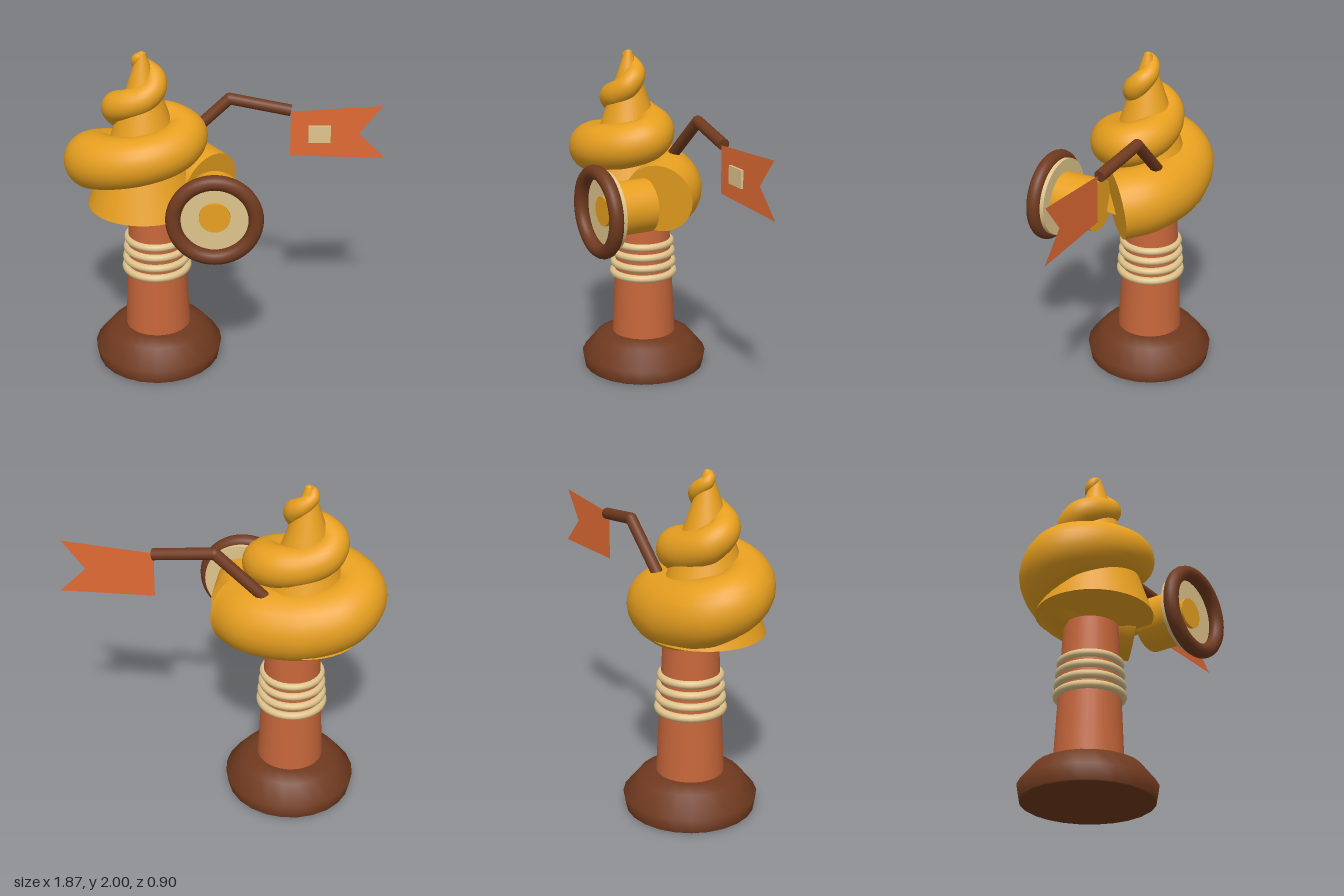
import * as THREE from 'three';

const mat = (name, color, side = THREE.FrontSide) => {
  const m = new THREE.MeshStandardMaterial({ color, side });
  m.name = name;
  return m;
};

export function createModel() {
  const model = new THREE.Group();
  const brown = mat('dark brown', 0x703a1f);
  const clay = mat('clay', 0xc6663a);
  const gold = mat('golden yellow', 0xe8a020);
  const beige = mat('beige', 0xe0c48c);
  const flagRed = mat('flag orange', 0xe06a34, THREE.DoubleSide);

  const add = (name, geo, material, x = 0, y = 0, z = 0, rx = 0) => {
    const mesh = new THREE.Mesh(geo, material);
    mesh.name = name;
    mesh.position.set(x, y, z);
    mesh.rotation.x = rx;
    model.add(mesh);
    return mesh;
  };

  // Base, post and the four rings around it
  const px = -0.412, pz = -0.065;
  const baseProfile = [[0, 0], [0.365, 0], [0.372, 0.005], [0.387, 0.09], [0.297, 0.2], [0.215, 0.23], [0, 0.23]]
    .map(([r, y]) => new THREE.Vector2(r, y));
  add('base', new THREE.LatheGeometry(baseProfile, 24), brown, px, 0, pz);
  add('post', new THREE.CylinderGeometry(0.157, 0.196, 0.83, 32), clay, px, 0.635, pz);
  [[0.62, 0.185], [0.683, 0.18], [0.75, 0.174], [0.815, 0.168]].forEach(([y, r], i) =>
    add('postRing' + (i + 1), new THREE.TorusGeometry(r, 0.024, 10, 36), beige, px, y, pz, Math.PI / 2));

  // Swirl: a cone wrapped by a rising, tapering elliptical coil
  const cx = -0.465;
  add('swirlCore', new THREE.CylinderGeometry(0.022, 0.335, 0.91, 40), gold, cx, 1.535, 0);
  // Half-width and half-depth of the path for each half turn; height and thickness for each quarter turn
  const widths = [0.375, 0.295, 0.235, 0.145, 0.07, 0.022, 0];
  const depths = [0.18, 0.2, 0.105, 0.07, 0.03, 0];
  const heights = [1.17, 1.215, 1.34, 1.425, 1.5, 1.56, 1.67, 1.74, 1.84, 1.91, 1.96, 1.985];
  const radii = [0.21, 0.205, 0.17, 0.14, 0.13, 0.115, 0.09, 0.08, 0.065, 0.045, 0.03, 0.014];
  const sample = (list, k) => {
    const c = THREE.MathUtils.clamp(k, 0, list.length - 1), a = Math.min(Math.floor(c), list.length - 2);
    return THREE.MathUtils.lerp(list[a], list[a + 1], c - a);
  };
  const quarters = heights.length - 1, path = [];
  for (let k = 0; k <= quarters; k += 0.5) {
    const angle = k * Math.PI / 2;
    path.push(new THREE.Vector3(cx + sample(widths, k / 2) * Math.cos(angle), sample(heights, k),
      -sample(depths, (k - 1) / 2) * Math.sin(angle)));
  }
  const coil = new THREE.CatmullRomCurve3(path);
  const steps = 198, sides = 24, pos = [], index = [];
  const up = new THREE.Vector3(0, 1, 0);
  for (let i = 0; i <= steps; i++) {
    const t = i / steps, r = sample(radii, t * quarters);
    const c = coil.getPoint(t), T = coil.getTangent(t);
    const S = new THREE.Vector3().crossVectors(T, up).normalize();
    const U = new THREE.Vector3().crossVectors(T, S);
    for (let j = 0; j < sides; j++) {
      const f = j / sides * Math.PI * 2;
      const p = c.clone().addScaledVector(S, r * Math.cos(f)).addScaledVector(U, r * Math.sin(f));
      pos.push(p.x, p.y, p.z);
      if (i < steps) {
        const q = i * sides + j, n = i * sides + (j + 1) % sides;
        index.push(q, n, q + sides, n, n + sides, q + sides);
      }
    }
  }
  const coilGeo = new THREE.BufferGeometry();
  coilGeo.setAttribute('position', new THREE.Float32BufferAttribute(pos, 3));
  coilGeo.setIndex(index);
  coilGeo.computeVertexNormals();
  add('swirlCoil', coilGeo, gold);
  const start = coil.getPoint(0);
  add('swirlEndCap', new THREE.CircleGeometry(radii[0], sides), gold, start.x, start.y, start.z)
    .lookAt(start.clone().sub(coil.getTangent(0)));
  add('swirlTip', new THREE.SphereGeometry(0.022, 12, 8), gold, cx, 1.978, 0);

  // Round dial on a short barrel facing forward
  const dx = -0.06, dy = 1.155;
  const disc = (name, r, z0, z1, m) =>
    add(name, new THREE.CylinderGeometry(r, r, z1 - z0, 40), m, dx, dy, (z0 + z1) / 2, Math.PI / 2);
  disc('barrel', 0.157, 0.095, 0.345, gold);
  disc('dialPlate', 0.235, 0.34, 0.365, beige);
  disc('dialCentre', 0.088, 0.36, 0.385, gold);
  add('dialRim', new THREE.TorusGeometry(0.232, 0.043, 14, 48), brown, dx, dy, 0.408);

  // Bent arm carrying the flag
  const joints = [[-0.27, 1.363, -0.183], [0.025, 1.638, -0.197], [0.382, 1.58, -0.158]]
    .map(p => new THREE.Vector3(...p));
  for (let i = 0; i < 2; i++) {
    const d = joints[i + 1].clone().sub(joints[i]);
    const mid = joints[i].clone().addScaledVector(d, 0.5);
    add('armSegment' + (i + 1), new THREE.CylinderGeometry(0.034, 0.034, d.length(), 16), brown, mid.x, mid.y, mid.z)
      .quaternion.setFromUnitVectors(up, d.clone().normalize());
  }
  add('armElbow', new THREE.SphereGeometry(0.034, 16, 12), brown, ...joints[1].toArray());

  // Swallow-tailed flag with a square patch on its front
  const flag = new THREE.Shape([[0.38, 1.3], [0.935, 1.283], [0.78, 1.44], [0.912, 1.611], [0.38, 1.578]]
    .map(p => new THREE.Vector2(...p)));
  add('flag', new THREE.ShapeGeometry(flag), flagRed, 0, 0, -0.145);
  add('flagPatch', new THREE.BoxGeometry(0.13, 0.105, 0.014), beige, 0.549, 1.438, -0.137);

  return model;
}
